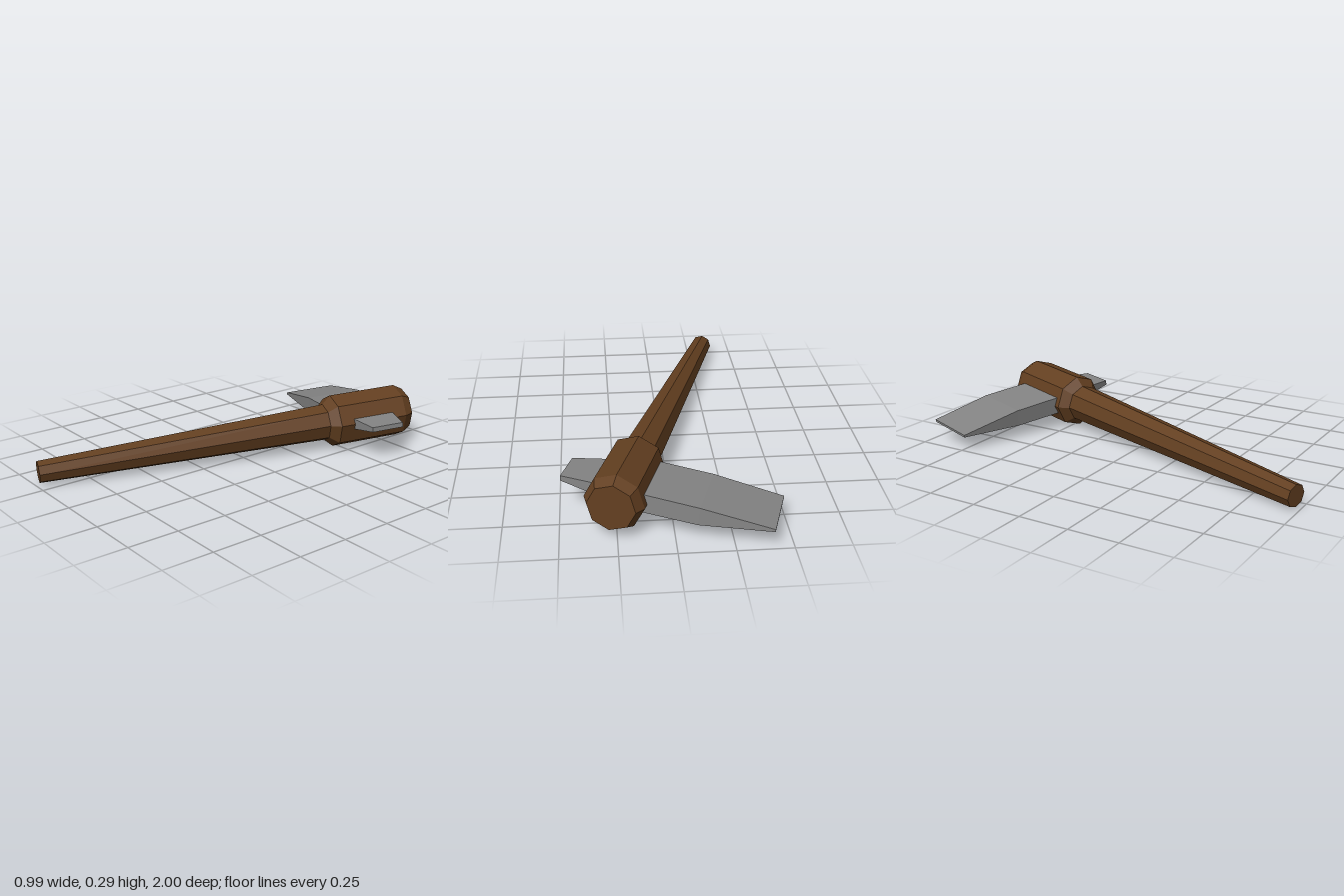
import * as THREE from 'three';

// Lofts a four-sided bar along x. Each section: [x, yLow, yHigh, halfThickness]
function loftBar(sections) {
  const positions = [];
  const index = [];
  for (const [x, y0, y1, h] of sections) {
    positions.push(x, y0, -h, x, y1, -h, x, y1, h, x, y0, h);
  }
  const quad = (a, b, c, d) => index.push(a, b, c, a, c, d);
  for (let i = 0; i < sections.length - 1; i++) {
    for (let j = 0; j < 4; j++) {
      const k = (j + 1) % 4;
      quad(i * 4 + j, i * 4 + k, i * 4 + 4 + k, i * 4 + 4 + j);
    }
  }
  const e = (sections.length - 1) * 4;
  quad(0, 3, 2, 1);
  quad(e, e + 1, e + 2, e + 3);
  const indexed = new THREE.BufferGeometry();
  indexed.setAttribute('position', new THREE.Float32BufferAttribute(positions, 3));
  indexed.setIndex(index);
  const geometry = indexed.toNonIndexed();
  geometry.computeVertexNormals();
  return geometry;
}

// Eight-sided turned part from [radius, height] pairs
function turned(profile) {
  const points = profile.map(([r, y]) => new THREE.Vector2(r, y));
  const geometry = new THREE.LatheGeometry(points, 8).toNonIndexed();
  geometry.computeVertexNormals();
  return geometry;
}

export function createModel() {
  const wood = new THREE.MeshStandardMaterial({ color: 0x633f20, flatShading: true });
  wood.name = 'brown wood';
  const stone = new THREE.MeshStandardMaterial({ color: 0x848484, flatShading: true });
  stone.name = 'grey stone';

  const model = new THREE.Group();
  model.name = 'axe';
  const add = (name, geometry, material) => {
    const mesh = new THREE.Mesh(geometry, material);
    mesh.name = name;
    model.add(mesh);
  };

  // Tapered handle and thick bevelled head, built along local y
  add('handle', turned([[0, 0], [0.055, 0], [0.096, 1.485]]), wood);
  add('head', turned([[0.096, 1.485], [0.137, 1.53], [0.137, 1.9], [0.11, 1.95], [0, 1.95]]), wood);

  // Broad wedge blade on one side, short spike on the other
  add('blade', loftBar([
    [-0.694, 1.57, 1.855, 0.006],
    [-0.368, 1.567, 1.872, 0.042],
    [0, 1.553, 1.858, 0.045],
  ]), stone);
  add('spike', loftBar([
    [0, 1.58, 1.846, 0.039],
    [0.278, 1.63, 1.8, 0.012],
  ]), stone);

  // Lay the axe down: local y runs along the handle, local z points up
  const yAxis = new THREE.Vector3(0.31, 0.048, -0.949).normalize();
  const zAxis = new THREE.Vector3(0.95, 0.087, 0.311).cross(yAxis).normalize();
  const xAxis = new THREE.Vector3().crossVectors(yAxis, zAxis);
  model.quaternion.setFromRotationMatrix(new THREE.Matrix4().makeBasis(xAxis, yAxis, zAxis));
  model.position.set(-0.33, 0.067, 0.98);

  const root = new THREE.Group();
  root.name = 'model';
  root.add(model);
  return root;
}
